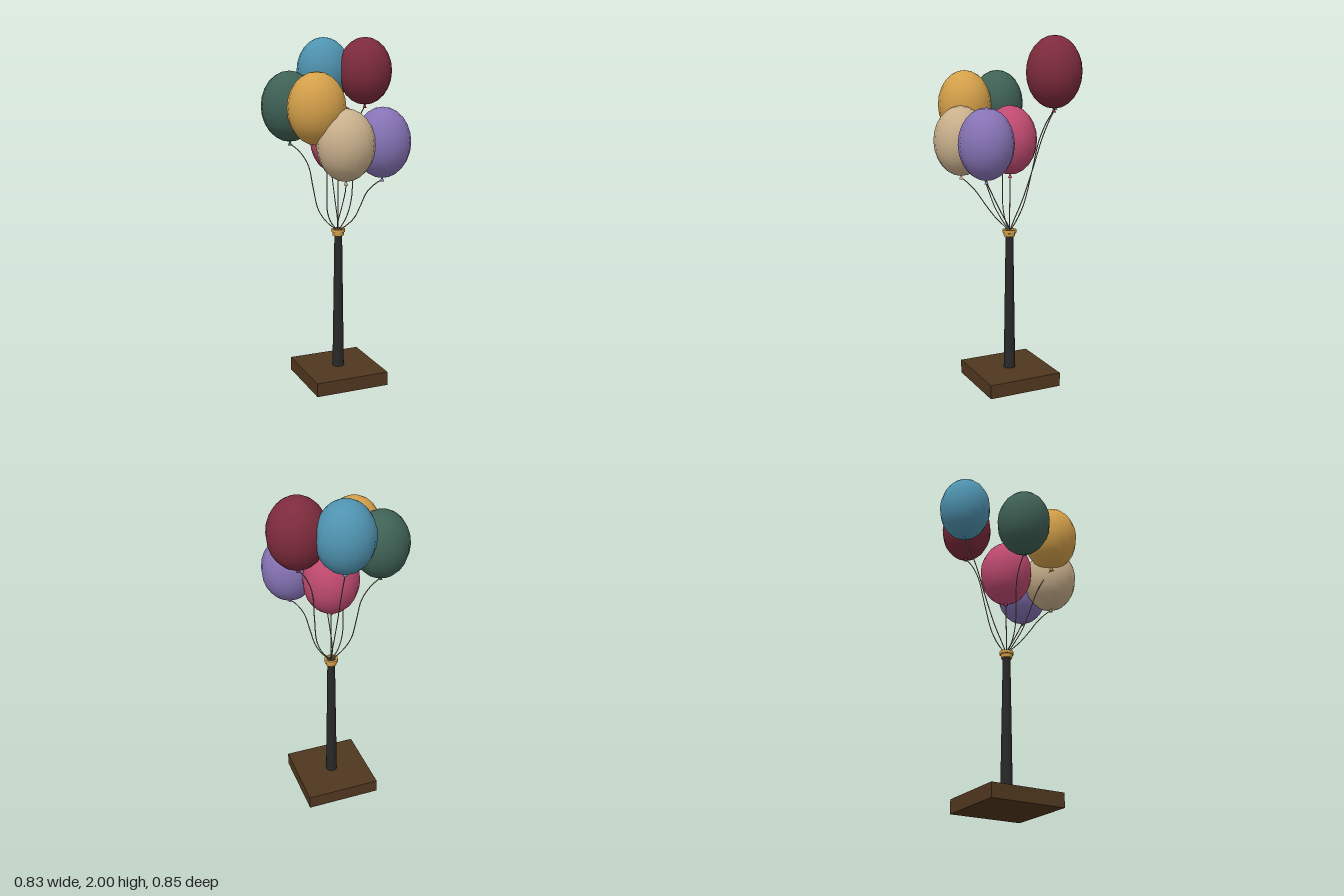
import * as THREE from 'three';

const mat = (name, color) => {
  const m = new THREE.MeshStandardMaterial({ color });
  m.name = name;
  return m;
};

export function createModel() {
  const model = new THREE.Group();
  model.name = 'balloonStand';

  const amber = mat('amber', 0xd4a04a);
  const wood = mat('darkWood', 0x50371f);
  const black = mat('blackMetal', 0x282828);
  const cord = mat('cord', 0x857e6e);

  const CX = 0.018, CZ = 0.004; // axis of the stand
  const add = (name, geometry, material, x, y, z, parent = model) => {
    const mesh = new THREE.Mesh(geometry, material);
    mesh.name = name;
    mesh.position.set(x, y, z);
    parent.add(mesh);
    return mesh;
  };

  // Base slab and tapered pole
  add('base', new THREE.BoxGeometry(0.44, 0.08, 0.44), wood, CX, 0.04, CZ);
  add('pole', new THREE.CylinderGeometry(0.022, 0.034, 0.825, 16), black, CX, 0.4925, CZ);

  // Collar: narrow band with a wider lip, hollow at the top
  const profile = [
    [0.021, 0.873], [0.032, 0.873], [0.035, 0.893], [0.04, 0.895],
    [0.04, 0.912], [0.027, 0.912], [0.022, 0.9],
  ].map(([r, y]) => new THREE.Vector2(r, y));
  const collarGeometry = new THREE.LatheGeometry(profile, 16).toNonIndexed();
  collarGeometry.computeVertexNormals();
  add('collar', collarGeometry, amber, CX, 0, CZ);

  // Balloons: name, material, centre
  const balloons = [
    ['blueBalloon', mat('blue', 0x4f93b0), 0.042, 1.805, -0.276],
    ['redBalloon', mat('darkRed', 0x7d2b3c), 0.253, 1.805, -0.15],
    ['greenBalloon', mat('darkGreen', 0x3f6155), -0.255, 1.618, -0.045],
    ['amberBalloon', amber, -0.187, 1.618, 0.19],
    ['tanBalloon', mat('tan', 0xc9b08c), -0.052, 1.426, 0.271],
    ['pinkBalloon', mat('pink', 0xbf4a70), 0.018, 1.426, 0.0],
    ['purpleBalloon', mat('purple', 0x8673b5), 0.188, 1.426, 0.222],
  ];
  const skin = new THREE.SphereGeometry(1, 16, 12).scale(0.16, 0.195, 0.151);
  const knot = new THREE.ConeGeometry(0.012, 0.03, 8);

  // String sway: fraction of the way in x, y, z from collar to knot
  const sway = [
    [0, 0, 0], [0.24, 0.1, 0.1], [0.43, 0.25, 0.27], [0.53, 0.5, 0.5],
    [0.62, 0.75, 0.71], [0.79, 0.9, 0.87], [1, 1, 1],
  ];
  const start = new THREE.Vector3(CX, 0.9, CZ);

  for (const [name, material, x, y, z] of balloons) {
    const balloon = new THREE.Group();
    balloon.name = name;
    add('skin', skin, material, x, y, z, balloon);
    add('knot', knot, material, x, y - 0.2, z, balloon);

    const d = new THREE.Vector3(x, y - 0.205, z).sub(start);
    const path = new THREE.CatmullRomCurve3(sway.map(([fx, fy, fz]) =>
      new THREE.Vector3(start.x + d.x * fx, start.y + d.y * fy, start.z + d.z * fz)));
    add('string', new THREE.TubeGeometry(path, 28, 0.003, 6), cord, 0, 0, 0, balloon);
    model.add(balloon);
  }

  return model;
}
